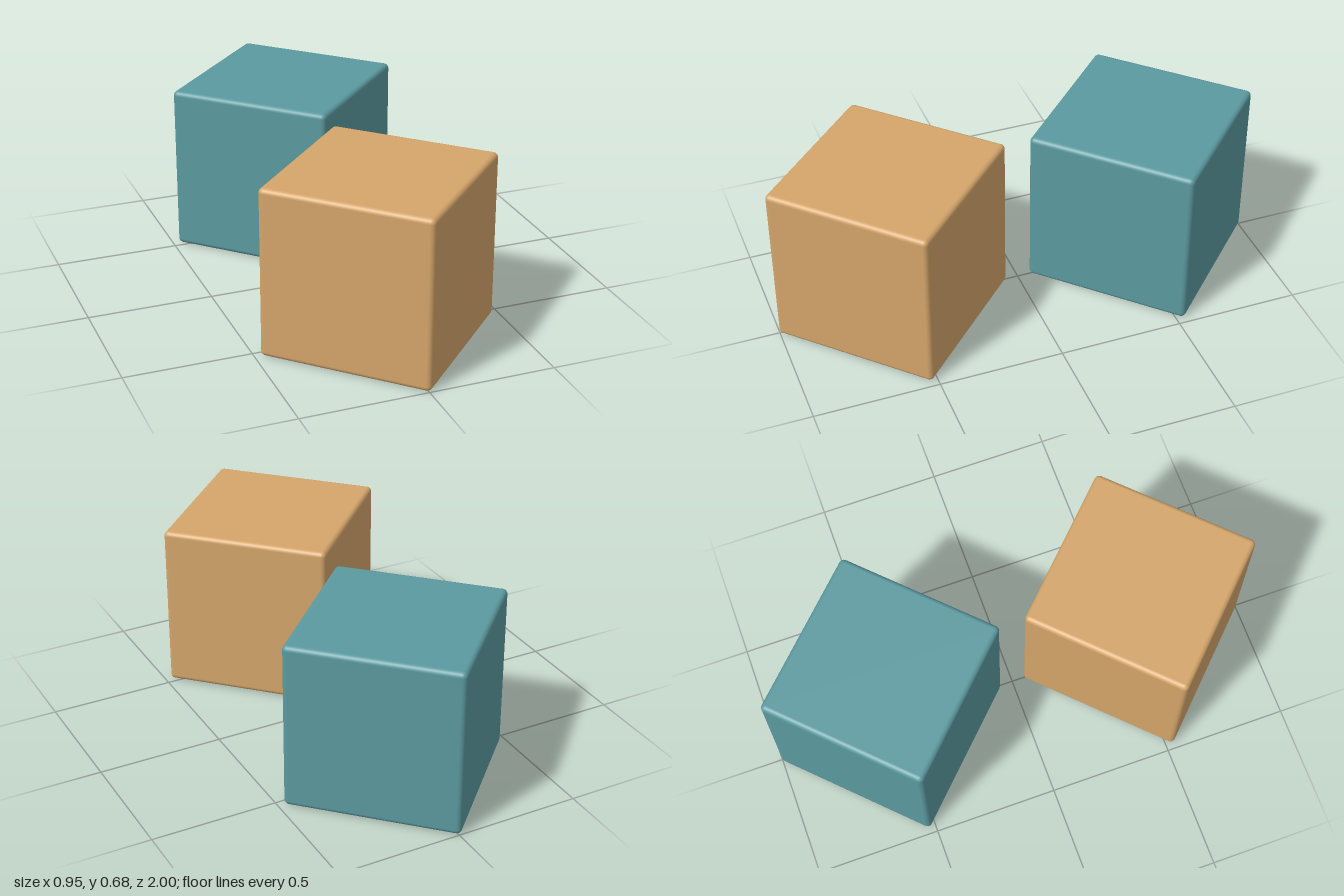
import * as THREE from 'three';
import { RoundedBoxGeometry } from 'three/addons/geometries/RoundedBoxGeometry.js';

const SIZE = 0.68;
const RADIUS = 0.02;
const OFFSET = 0.527;

export function createModel() {
  const group = new THREE.Group();
  group.name = 'cubePair';
  const geometry = new RoundedBoxGeometry(SIZE, SIZE, SIZE, 4, RADIUS);

  // Two softly rounded cubes, turned corner to corner along z
  const cubes = [
    ['frontCube', 0xd4a56a, OFFSET],
    ['backCube', 0x5b9aa0, -OFFSET],
  ];
  for (const [name, color, z] of cubes) {
    const cube = new THREE.Mesh(geometry, new THREE.MeshStandardMaterial({ color }));
    cube.name = name;
    cube.position.set(0, SIZE / 2, z);
    cube.rotation.y = Math.PI / 4;
    group.add(cube);
  }
  return group;
}
